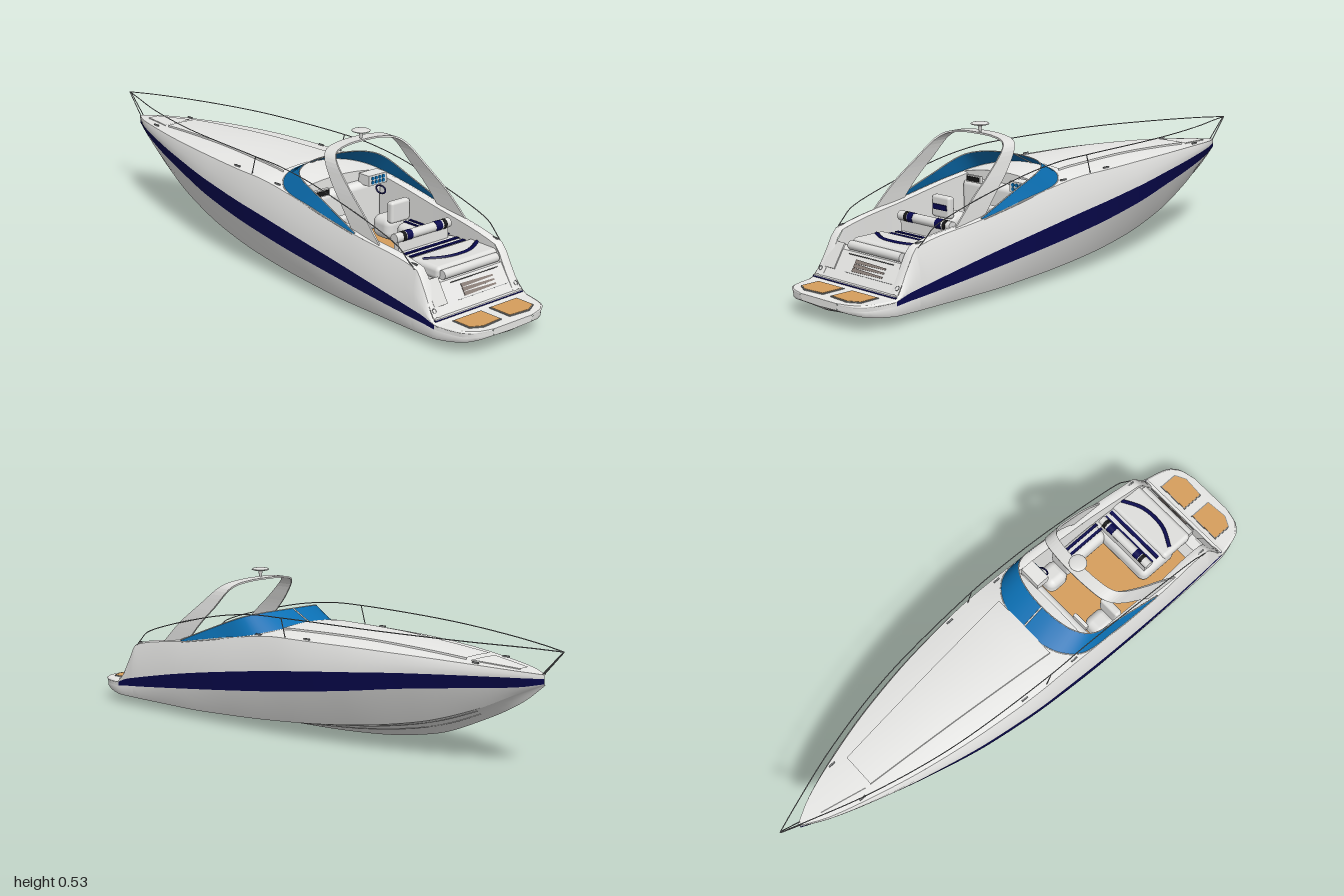
import * as THREE from 'three';
import { RoundedBoxGeometry } from 'three/addons/geometries/RoundedBoxGeometry.js';

const paint = (name, color, side = THREE.FrontSide) => {
  const m = new THREE.MeshStandardMaterial({ color, side });
  m.name = name;
  return m;
};

// Hull stations: x, keelY, chineY, chineZ, stripeLowY, stripeLowZ, stripeTopY, stripeTopZ, sheerY, sheerZ
const STATIONS = [
  [-0.93, 0.276, 0.279, 0.002, 0.281, 0.003, 0.297, 0.004, 0.31, 0.004],
  [-0.85, 0.214, 0.245, 0.02, 0.265, 0.034, 0.296, 0.046, 0.318, 0.046],
  [-0.7, 0.136, 0.176, 0.05, 0.25, 0.087, 0.291, 0.1, 0.328, 0.095],
  [-0.5, 0.06, 0.113, 0.09, 0.229, 0.143, 0.28, 0.155, 0.337, 0.145],
  [-0.25, 0.02, 0.072, 0.138, 0.194, 0.192, 0.258, 0.202, 0.342, 0.185],
  [0, 0.005, 0.05, 0.172, 0.161, 0.215, 0.232, 0.225, 0.342, 0.205],
  [0.25, 0, 0.037, 0.19, 0.132, 0.222, 0.198, 0.229, 0.315, 0.207],
  [0.5, 0.003, 0.03, 0.198, 0.104, 0.218, 0.158, 0.224, 0.272, 0.205],
  [0.77, 0.009, 0.03, 0.199, 0.074, 0.206, 0.105, 0.209, 0.226, 0.19],
  [0.81, 0.01, 0.03, 0.198, 0.07, 0.203, 0.096, 0.205, 0.165, 0.19],
  [0.855, 0.012, 0.03, 0.196, 0.064, 0.2, 0.08, 0.201, 0.09, 0.194],
  [0.87, 0.013, 0.031, 0.194, 0.062, 0.198, 0.074, 0.198, 0.081, 0.192],
  [0.95, 0.028, 0.04, 0.168, 0.06, 0.174, 0.072, 0.176, 0.08, 0.172],
  [0.985, 0.043, 0.049, 0.13, 0.06, 0.14, 0.072, 0.142, 0.079, 0.138],
  [1, 0.054, 0.056, 0.08, 0.062, 0.085, 0.072, 0.087, 0.078, 0.083],
];

// Monotone cubic interpolation of one station column
function at(x, c) {
  const S = STATIONS, n = S.length - 1;
  let i = 0;
  while (i < n - 1 && x > S[i + 1][0]) i++;
  const d = k => (S[k + 1][c] - S[k][c]) / (S[k + 1][0] - S[k][0]);
  const slope = k => {
    if (k === 0) return d(0);
    if (k === n) return d(n - 1);
    const a = d(k - 1), b = d(k);
    return a * b <= 0 ? 0 : (2 * a * b) / (a + b);
  };
  const h = S[i + 1][0] - S[i][0], t = (x - S[i][0]) / h, u = 1 - t;
  return S[i][c] * (1 + 2 * t) * u * u + S[i + 1][c] * t * t * (3 - 2 * t)
    + h * (slope(i) * t * u * u - slope(i + 1) * t * t * u);
}

const range = (a, b, n) => Array.from({ length: n + 1 }, (_, i) => a + (b - a) * i / n);
const crown = x => 0.02 * THREE.MathUtils.smoothstep(x, -0.93, -0.1) + (x > 0 ? 0.03 * x : 0);
const deckY = (x, z) => at(x, 8) + crown(x) * (1 - (z / at(x, 9)) ** 2);
const outline = pts => new THREE.Shape(pts.map(p => new THREE.Vector2(...p)));
const slab = (pts, depth) => new THREE.ExtrudeGeometry(outline(pts), { depth, bevelEnabled: false });

// Surface through rows of [x, y, z] points
function skin(rows) {
  const m = rows[0].length, index = [];
  for (let i = 0; i < rows.length - 1; i++) for (let j = 0; j < m - 1; j++) {
    const a = i * m + j, b = a + m;
    index.push(a, b, a + 1, b, b + 1, a + 1);
  }
  const g = new THREE.BufferGeometry();
  g.setAttribute('position', new THREE.Float32BufferAttribute(rows.flat(2), 3));
  g.setIndex(index);
  g.computeVertexNormals();
  return g;
}

export function createModel() {
  const white = paint('gelcoat white', 0xe9e9e7), navy = paint('navy stripe', 0x08084f);
  const glass = paint('blue glass', 0x0b70b4, THREE.DoubleSide), wood = paint('teak', 0xd69e5c);
  const metal = paint('steel', 0x8a8c8d), black = paint('black trim', 0x161616);
  const taupe = paint('vent taupe', 0x8a7e78), cushion = paint('seat vinyl', 0xdfdfdd, THREE.DoubleSide);
  const boat = new THREE.Group();
  boat.name = 'motorBoat';

  const add = (name, geo, mat, x = 0, y = 0, z = 0, parent = boat) => {
    const m = new THREE.Mesh(geo, mat);
    m.name = name;
    m.position.set(x, y, z);
    parent.add(m);
    return m;
  };
  const box = (name, mat, w, h, d, x, y, z, parent) => add(name, new THREE.BoxGeometry(w, h, d), mat, x, y, z, parent);
  const pad = (name, mat, w, h, d, x, y, z) =>
    add(name, new RoundedBoxGeometry(w, h, d, 3, Math.min(w, h, d) * 0.35), mat, x, y, z);
  const curve = pts => new THREE.CatmullRomCurve3(pts.map(p => new THREE.Vector3(...p)), false, 'centripetal');
  const tube = (name, mat, pts, r, n = 60) => add(name, new THREE.TubeGeometry(curve(pts), n, r, 6), mat);
  const roll = (name, mat, r, len, x, y, z) =>
    add(name, new THREE.CylinderGeometry(r, r, len, 20).rotateX(Math.PI / 2), mat, x, y, z);
  const flip = pts => pts.map(([x, y, z]) => [x, y, -z]);
  // Same band on both sides; section(x) runs upward or inward on the +z side
  const band = (name, mat, xs, section) => {
    const rows = xs.map(section);
    add(name + 'Left', skin(rows), mat);
    add(name + 'Right', skin(rows.map(r => flip(r).reverse())), mat);
  };

  // Hull
  const all = [...range(-0.93, 0.77, 60), ...range(0.775, 0.95, 14), ...range(0.955, 1, 12)];
  const P = (x, y, z) => [x, at(x, y), at(x, z)];
  const bottomPoint = (x, t) => [x, at(x, 1) + (at(x, 2) - at(x, 1)) * (1 - (1 - t) ** 1.5), at(x, 3) * t];
  const bulge = (x, a, az, b, bz, out) => [x, (at(x, a) + at(x, b)) / 2, (at(x, az) + at(x, bz)) / 2 + out * Math.min(1, at(x, 9) / 0.1)];
  band('hullBottom', white, all, x => range(0, 1, 5).map(t => bottomPoint(x, t)));
  band('hullSide', white, all, x => [P(x, 2, 3), bulge(x, 2, 3, 4, 5, 0.004), P(x, 4, 5)]);
  band('hullStripe', navy, all.filter(x => x < 0.87), x => [P(x, 4, 5), P(x, 6, 7)]);
  band('platformEdge', white, all.filter(x => x > 0.86), x => [P(x, 4, 5), P(x, 6, 7)]);
  band('topside', white, all, x => [P(x, 6, 7), bulge(x, 6, 7, 8, 9, 0.006), P(x, 8, 9)]);
  const end = [[1, at(1, 1), 0], P(1, 2, 3), P(1, 4, 5), P(1, 6, 7), P(1, 8, 9)];
  add('platformEnd', skin([end, flip(end)]), white);
  for (const s of [1, -1]) for (const t of [0.4, 0.72])
    tube('hullStrake', white, range(-0.7, 0.9, 14).map(x => {
      const p = bottomPoint(x, t);
      return [p[0], p[1], p[2] * s];
    }), 0.002, 50);

  // Foredeck with raised cabin top and bow locker lid
  const across = (x, w, lift) => range(w, -w, 12).map(z => [x, deckY(x, z) + lift, z]);
  const raised = (name, a, b, width, lift) => {
    const xs = range(a, b, 24);
    add(name, skin(xs.map(x => across(x, width(x), lift))), white);
    band(name + 'Edge', white, xs, x => {
      const w = width(x), y = deckY(x, w);
      return [[x, y - 0.002, w + 0.001], [x, y + lift, w]];
    });
  };
  add('foredeck', skin(range(-0.93, 0.2, 40).map(x => across(x, at(x, 9), 0))), white);
  raised('cabinTop', -0.67, 0.07, x => 0.06 + (x + 0.67) / 0.74 * 0.067, 0.006);
  raised('bowLocker', -0.85, -0.69, x => 0.02 + (x + 0.85) * 0.24, 0.003);
  for (const s of [1, -1]) for (const x of [-0.72, -0.1, 0.12, 0.75])
    box('cleat', metal, 0.025, 0.005, 0.005, x, at(x, 8) + 0.005, s * (at(x, 9) - 0.012));

  // Cockpit: coaming, floor, dash
  const wallZ = x => at(x, 9) - 0.034;
  band('coaming', white, [...range(0.2, 0.77, 24), 0.79, 0.81, 0.83, 0.855], x => {
    const y = at(x, 8);
    return [[x, y, at(x, 9)], [x, y + 0.005, at(x, 9) - 0.014], [x, y, wallZ(x)]];
  });
  band('cockpitWall', white, range(0.2, 0.85, 24), x =>
    [[x, at(x, 8), wallZ(x)], [x, Math.min(0.12, at(x, 8) - 0.005), wallZ(x) - 0.002]]);
  add('cockpitFloor', skin(range(0.18, 0.8, 8).map(x => [[x, 0.13, 0.178], [x, 0.13, -0.178]])), wood);
  add('dashBulkhead', skin(range(0.205, -0.205, 12).map(z => [[0.2, 0.12, z], [0.2, deckY(0.2, z), z]])), white);
  pad('dashboard', white, 0.06, 0.18, 0.34, 0.205, 0.22, 0);
  box('helmConsole', white, 0.05, 0.036, 0.082, 0.235, 0.322, -0.125);
  box('radioPanel', black, 0.004, 0.016, 0.056, 0.242, 0.316, 0.105);
  box('radioShelf', white, 0.012, 0.024, 0.064, 0.235, 0.316, 0.105);
  for (let i = 0; i < 8; i++)
    add('gauge', new THREE.CylinderGeometry(0.0062, 0.0062, 0.004, 14).rotateZ(Math.PI / 2), glass, 0.261,
      0.315 + (i % 2) * 0.014, -0.101 - Math.floor(i / 2) * 0.016);
  add('steeringWheel', new THREE.TorusGeometry(0.017, 0.003, 8, 24).rotateY(Math.PI / 2), navy, 0.275, 0.29, -0.125).rotation.z = 0.9;

  // Seats
  for (const s of [1, -1]) {
    pad('frontSeatBase', cushion, 0.09, 0.08, 0.085, 0.32, 0.175, s * 0.122);
    pad('frontSeatBack', cushion, 0.028, 0.075, 0.085, 0.365, 0.24, s * 0.122);
  }
  box('frontSeatBand', navy, 0.004, 0.018, 0.065, 0.381, 0.24, 0.122);
  pad('sideBench', cushion, 0.2, 0.07, 0.075, 0.47, 0.168, -0.138);
  for (const z of [-0.155, -0.132]) box('sideBenchBand', navy, 0.18, 0.004, 0.01, 0.475, 0.204, z);
  pad('rearBench', cushion, 0.16, 0.075, 0.28, 0.63, 0.165, -0.037);
  pad('sunPad', cushion, 0.13, 0.045, 0.28, 0.715, 0.19, -0.037);
  roll('benchBolster', cushion, 0.016, 0.24, 0.575, 0.25, -0.023);
  box('bolsterSupport', white, 0.02, 0.06, 0.22, 0.575, 0.215, -0.023);
  for (const [z, w, m] of [[0.04, 0.024, navy], [0.062, 0.014, black], [-0.09, 0.028, navy], [-0.118, 0.014, black]])
    roll('bolsterBand', m, 0.0168, w, 0.575, 0.25, z);
  for (const x of [0.607, 0.635]) box('benchBand', navy, 0.013, 0.004, 0.24, x, 0.203, -0.037);
  tube('sunPadBand', navy, [[0.69, 0.21, 0.085], [0.724, 0.211, 0.02], [0.732, 0.211, -0.037], [0.724, 0.211, -0.094], [0.69, 0.21, -0.16]], 0.0075, 30);
  roll('sternRoll', cushion, 0.015, 0.24, 0.787, 0.19, -0.025);

  // Transom, with fittings laid on its sloping face
  add('transom', slab([[0.72, 0.06], [0.853, 0.06], [0.853, 0.09], [0.8, 0.175], [0.757, 0.175], [0.735, 0.13]], 0.376), white, 0, 0, -0.188);
  const face = new THREE.Group();
  face.name = 'transomFittings';
  face.position.set(0.854, 0.09, 0);
  face.rotation.z = Math.atan(0.053 / 0.085);
  boat.add(face);
  box('walkwayDoor', cushion, 0.006, 0.088, 0.056, 0, 0.076, 0.147, face);
  box('hatchSeam', metal, 0.003, 0.0015, 0.22, 0, 0.032, -0.04, face);
  tube('grabRail', metal, [[0.808, 0.168, 0.08], [0.812, 0.17, 0], [0.808, 0.168, -0.13]], 0.0015, 20);
  for (const y of [0.044, 0.058, 0.072])
    add('engineVent', slab([[-0.04, -0.0065], [0.1, -0.0035], [0.1, 0.002], [-0.04, 0.0065]], 0.002).rotateY(Math.PI / 2), taupe, 0, y, 0, face);
  for (const s of [1, -1])
    add('sternLight', new THREE.TorusGeometry(0.007, 0.0015, 6, 16).rotateY(Math.PI / 2), metal, 0.002, 0.024, s * 0.18, face);
  box('transomStripe', navy, 0.009, 0.013, 0.39, 0.8575, 0.0825, 0);
  box('transomLip', white, 0.012, 0.003, 0.386, 0.8575, 0.0905, 0);

  // Swim platform
  add('swimPlatform', skin(all.filter(x => x > 0.85).map(x => [P(x, 8, 9), [x, at(x, 8), -at(x, 9)]])), white);
  const inset = (g, s) => [[-0.042, -0.058 * s], [0.038, -0.058 * s], [0.044, 0.02 * s], [0.024, 0.058 * s], [-0.042, 0.058 * s]].map(([x, z]) => [x * g, -z * g]);
  for (const s of [1, -1]) {
    add('teakTrim', slab(inset(1.07, s), 0.005).rotateX(-Math.PI / 2), metal, 0.928, 0.078, s * 0.08);
    add('teakInset', slab(inset(1, s), 0.006).rotateX(-Math.PI / 2), wood, 0.928, 0.078, s * 0.08);
  }

  // Wraparound windshield
  const mirrorPath = half => [...flip(half).reverse(), ...half.slice(1)];
  const low = mirrorPath([[0.06, 0.358, 0], [0.068, 0.356, 0.08], [0.1, 0.346, 0.15], [0.158, 0.33, 0.195], [0.3, 0.304, 0.207], [0.5, 0.27, 0.205]]);
  const high = mirrorPath([[0.15, 0.404, 0], [0.155, 0.403, 0.07], [0.175, 0.398, 0.137], [0.215, 0.386, 0.179], [0.36, 0.333, 0.194], [0.51, 0.275, 0.203]]);
  const lowPts = curve(low).getPoints(60), highPts = curve(high).getPoints(60);
  add('windshield', skin(lowPts.map((p, i) => [p.toArray(), highPts[i].toArray()])), glass);
  tube('windshieldTopFrame', white, high, 0.002, 80);
  tube('windshieldBaseFrame', white, low, 0.002, 80);
  tube('windshieldPost', cushion, [low[5], high[5]], 0.003, 4);

  // Radar arch: x centre, y, z, half width along x
  const archHalf = [[0.3, 0.497, 0, 0.022], [0.303, 0.495, 0.07, 0.022], [0.315, 0.485, 0.13, 0.024], [0.335, 0.468, 0.153, 0.028],
    [0.4, 0.405, 0.172, 0.04], [0.48, 0.335, 0.184, 0.05], [0.56, 0.25, 0.191, 0.058]];
  const archPts = [...archHalf.map(([x, y, z, w]) => [x, y, -z, w]).reverse(), ...archHalf.slice(1)];
  const mid = curve(archPts.map(p => p.slice(0, 3))), wide = curve(archPts.map(p => [p[3], 0, p[2]]));
  const archGeo = skin(range(0, 1, 60).map(t => {
    const c = mid.getPoint(t), w = wide.getPoint(t).x, d = mid.getTangent(t);
    const l = Math.hypot(d.y, d.z) || 1, ny = d.z / l * 0.003, nz = -d.y / l * 0.003;
    return [[-1, 1], [-1, -1], [1, -1], [1, 1], [-1, 1]].map(([a, b]) => [c.x + a * w, c.y + b * ny, c.z + b * nz]);
  })).toNonIndexed();
  archGeo.computeVertexNormals();
  add('radarArch', archGeo, cushion);
  add('radarMast', new THREE.CylinderGeometry(0.008, 0.003, 0.026, 14), cushion, 0.31, 0.509, 0);
  add('radarDome', new THREE.SphereGeometry(0.031, 24, 12).scale(1, 0.2, 1), cushion, 0.31, 0.527, 0);

  // Deck rails
  for (const s of [1, -1]) {
    const S = pts => pts.map(([x, y, z]) => [x, y, z * s]);
    tube('sideRail', metal, S([[-0.998, 0.388, 0], [-0.9, 0.393, 0.035], [-0.7, 0.398, 0.1], [-0.4, 0.404, 0.165], [0, 0.407, 0.198],
      [0.15, 0.403, 0.2], [0.35, 0.375, 0.2], [0.7, 0.28, 0.195], [0.73, 0.255, 0.194], [0.775, 0.215, 0.188]]), 0.0018, 90);
    tube('bowRailLeg', metal, S([[-0.996, 0.388, 0.002], [-0.92, 0.308, 0.006]]), 0.0018, 4);
    tube('railPost', metal, S([[0.01, 0.407, 0.198], [-0.01, 0.34, 0.198]]), 0.0018, 4);
  }
  return boat;
}
